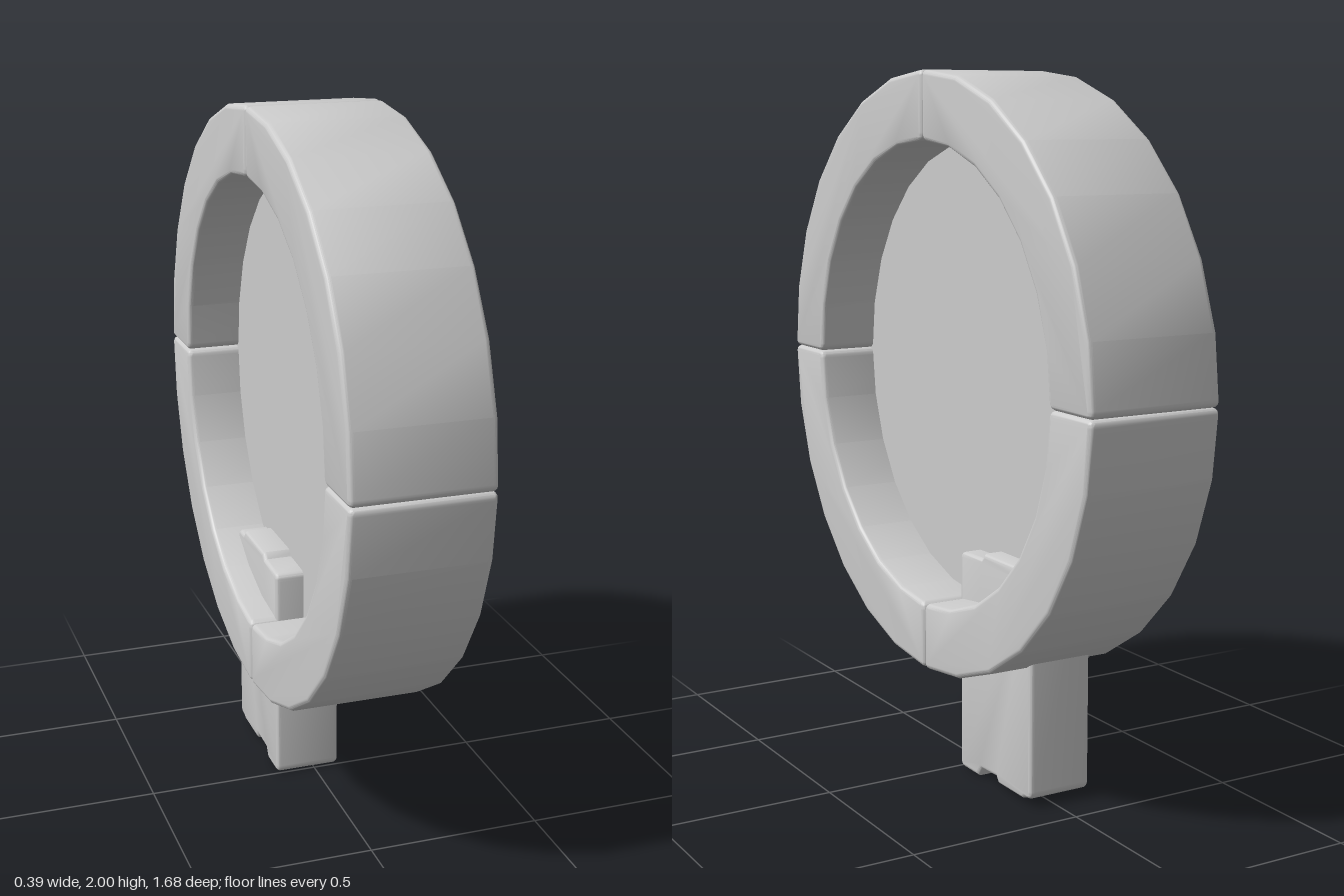
import * as THREE from 'three';
import { toCreasedNormals } from 'three/addons/utils/BufferGeometryUtils.js';

const CENTRE_Y = 1.157, OUTER = 0.844, INNER = 0.651, STEPS = 7;

// Outline in the side plane (-z, y); a third number on a point rounds that corner
function outline(points) {
  const shape = [];
  points.forEach(([u, v, r], i) => {
    const corner = new THREE.Vector2(u, v);
    if (!r) return shape.push(corner);
    const toward = ([a, b]) => new THREE.Vector2(a, b).sub(corner).setLength(r).add(corner);
    const before = toward(points.at(i - 1)), after = toward(points[(i + 1) % points.length]);
    shape.push(...new THREE.QuadraticBezierCurve(before, corner, after).getPoints(6));
  });
  return new THREE.Shape(shape);
}

// Soft-edged slab spanning x0 to x1
function slab(points, x0, x1, bevel) {
  const geometry = new THREE.ExtrudeGeometry(outline(points), {
    depth: x1 - x0 - 2 * bevel,
    bevelThickness: bevel, bevelSize: bevel, bevelOffset: -bevel, bevelSegments: 6,
  });
  geometry.translate(0, 0, x0 + bevel);
  geometry.rotateY(Math.PI / 2);
  return toCreasedNormals(geometry, 0.4);
}

// Quarter of the ring with rounded ends
function quarterPoints() {
  const outer = [], inner = [];
  for (let i = 0; i <= STEPS; i++) {
    const a = (i / STEPS) * Math.PI / 2, r = i % STEPS ? 0 : 0.022;
    outer.push([OUTER * Math.cos(a), OUTER * Math.sin(a), r]);
    inner.unshift([INNER * Math.cos(a), INNER * Math.sin(a), r]);
  }
  return [...outer, ...inner];
}

export function createModel() {
  const model = new THREE.Group();
  const material = new THREE.MeshStandardMaterial({ color: 0xcccccc });
  const add = (name, geometry) => {
    const mesh = new THREE.Mesh(geometry, material);
    mesh.name = name;
    model.add(mesh);
    return mesh;
  };

  // Four ring segments
  const quarter = slab(quarterPoints(), -0.195, 0.195, 0.015);
  for (let i = 0; i < 4; i++) {
    const segment = add('ringSegment' + (i + 1), quarter);
    segment.position.y = CENTRE_Y;
    segment.rotation.x = i * Math.PI / 2;
  }

  // Disc closing the ring near mid-width
  const disc = new THREE.CylinderGeometry(0.68, 0.68, 0.05, 4 * STEPS);
  disc.rotateZ(Math.PI / 2);
  add('disc', disc).position.set(-0.007, CENTRE_Y, 0);

  // Off-centre post with stepped ends
  const post = [
    [0, 0, 0.022], [0.1, 0], [0.118, 0.027], [0.2, 0.03],
    [0.212, 0.013], [0.34, 0.013], [0.355, 0.02], [0.388, 0.022, 0.022],
    [0.388, 0.65, 0.022], [0.335, 0.65], [0.32, 0.665], [0.135, 0.665],
    [0.12, 0.648], [0, 0.645, 0.022],
  ];
  add('post', slab(post, -0.116, 0.076, 0.013));

  return model;
}
